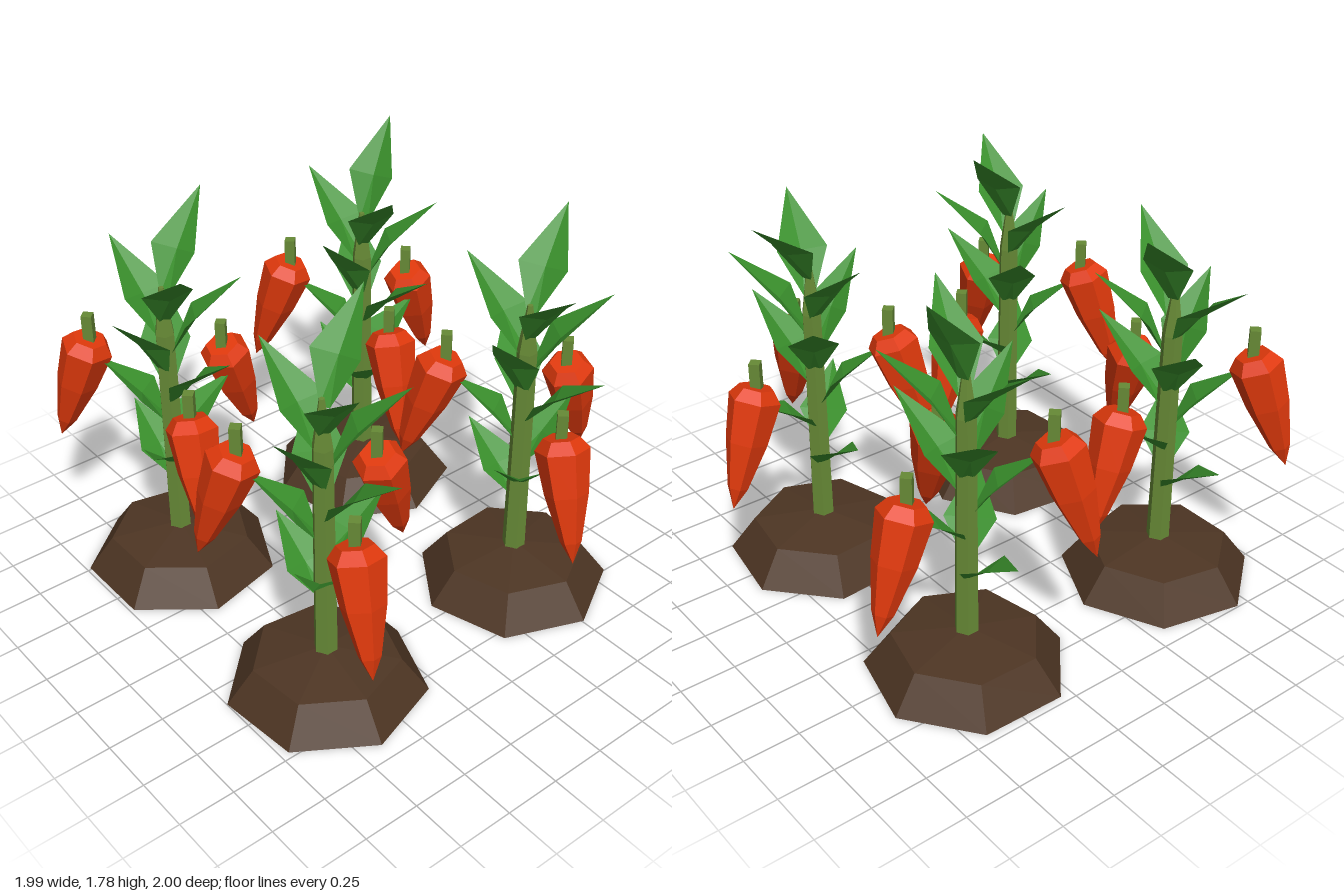
import * as THREE from 'three';

const mat = (name, color, side = THREE.FrontSide) => {
  const m = new THREE.MeshStandardMaterial({ color, flatShading: true, side });
  m.name = name;
  return m;
};
const rad = THREE.MathUtils.degToRad;

function part(name, geometry, material) {
  const m = new THREE.Mesh(geometry, material);
  m.name = name;
  return m;
}

// Faceted turned shape with its first corner on +x; profile runs bottom to top
const turned = (profile, sides) => new THREE.LatheGeometry(
  profile.map(([r, y]) => new THREE.Vector2(r, y)), sides, Math.PI / 2);

// Folded leaf growing along +x: narrow foot, steep to the wide middle, then bent out to a point
function leafGeometry(rise, reach) {
  const midY = rise * 0.5, midR = reach * 0.31;
  const p = [
    [0.02, 0, 0.022], [0.02, 0, -0.022],
    [midR, midY, 0.108], [midR + 0.03, midY - 0.02, 0], [midR, midY, -0.108],
    [reach, rise, 0],
  ];
  const g = new THREE.BufferGeometry();
  g.setAttribute('position', new THREE.Float32BufferAttribute(p.flat(), 3));
  g.setIndex([0, 2, 3, 0, 3, 1, 1, 3, 4, 2, 5, 3, 3, 5, 4]);
  g.computeVertexNormals();
  return g;
}

// Leaves from the top down: heading in degrees, foot height, tip height, reach
const LEAVES = [
  [-23, 1.37, 1.745, 0.335], [109, 1.27, 1.63, 0.37], [-92, 1.18, 1.525, 0.37],
  [41, 1.1, 1.475, 0.335], [163, 1.01, 1.39, 0.31], [-59, 0.93, 1.28, 0.36],
  [79, 0.86, 1.19, 0.38], [226, 0.76, 1.06, 0.3], [-2, 0.65, 0.87, 0.325],
  [135, 0.54, 0.79, 0.35], [-87, 0.46, 0.69, 0.345],
];

// Carrots: heading in degrees, crown height
const CARROTS = [[229, 1.14], [-12, 0.985], [108, 0.985]];

// Plants: x, z, soil turn in degrees, extra lift of the top leaf
const PLANTS = [
  [-0.595, -0.575, 0, 0], [0.48, -0.575, 40, 0.04],
  [-0.595, 0.5, 46, 0], [0.48, 0.5, 35, -0.02],
];

export function createModel() {
  const soil = mat('soil brown', 0x4d3523);
  const stalk = mat('stalk green', 0x678a36);
  const leafGreen = mat('leaf green', 0x3a902c, THREE.DoubleSide);
  const orange = mat('carrot orange', 0xe0390c);

  const moundGeo = turned([[0, 0], [0.43, 0], [0.315, 0.155], [0, 0.2]], 7);
  const stalkGeo = turned([[0.052, 0.15], [0.044, 1.2], [0.012, 1.42], [0, 1.42]], 6);
  const carrotGeo = turned(
    [[0, -0.55], [0.045, -0.45], [0.092, -0.24], [0.114, -0.05], [0.075, 0], [0, 0]], 6);
  const carrotStemGeo = new THREE.CylinderGeometry(0.032, 0.032, 0.16, 4);

  const model = new THREE.Group();
  model.name = 'carrotPatch';

  for (const [x, z, turn, lift] of PLANTS) {
    const plant = new THREE.Group();
    plant.name = 'plant';
    plant.position.set(x, 0, z);
    model.add(plant);

    // Soil and stalk
    const mound = part('soilMound', moundGeo, soil);
    mound.rotation.y = -rad(turn);
    plant.add(mound, part('stalk', stalkGeo, stalk));

    // Spiral of leaves
    LEAVES.forEach(([heading, foot, tip, reach], i) => {
      const extra = i === 0 ? lift : 0;
      const leaf = part('leaf', leafGeometry(tip + extra - foot, reach - extra * 1.5), leafGreen);
      leaf.position.y = foot;
      leaf.rotation.y = -rad(heading);
      plant.add(leaf);
    });

    // Hanging carrots, tips leaning outward
    for (const [heading, top] of CARROTS) {
      const arm = new THREE.Group();
      arm.name = 'carrot';
      arm.rotation.y = -rad(heading);
      const body = part('carrotBody', carrotGeo, orange);
      body.position.set(0.335, top, 0);
      body.rotation.z = 0.34;
      const carrotStem = part('carrotStem', carrotStemGeo, stalk);
      carrotStem.position.set(0.335, top + 0.037, 0);
      carrotStem.rotation.y = rad(heading);
      arm.add(body, carrotStem);
      plant.add(arm);
    }
  }
  return model;
}
